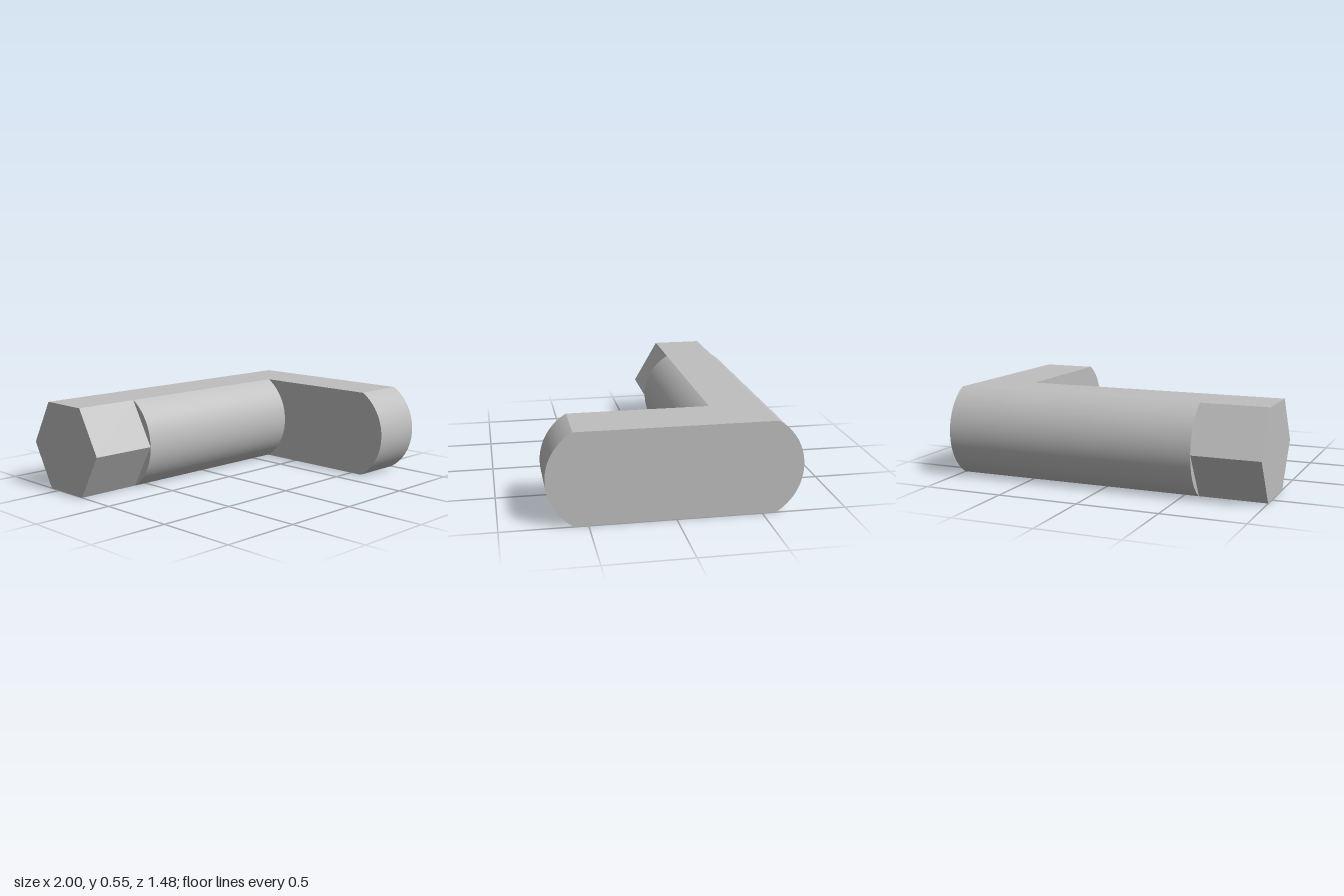
import * as THREE from 'three';
import { toCreasedNormals } from 'three/addons/utils/BufferGeometryUtils.js';

const HALF_H = 0.276;   // half height of the flattened stock
const RADIUS = 0.319;   // radius of the rounded sides
const SHAFT_Z = -0.419; // axis of the shaft

// Round-ended profile cut flat at top and bottom, between two arc centres in z
function flattenedProfile(zBack, zFront) {
  const a = Math.asin(HALF_H / RADIUS);
  const shape = new THREE.Shape();
  shape.absarc(-zBack, HALF_H, RADIUS, -a, a, false);
  shape.absarc(-zFront, HALF_H, RADIUS, Math.PI - a, Math.PI + a, false);
  shape.closePath();
  return shape;
}

// Regular hexagon with flats at top and bottom
function hexProfile(z) {
  const r = HALF_H / Math.cos(Math.PI / 6);
  const points = [];
  for (let i = 0; i < 6; i++) {
    const t = (i * Math.PI) / 3;
    points.push(new THREE.Vector2(-z + r * Math.cos(t), HALF_H + r * Math.sin(t)));
  }
  return new THREE.Shape(points);
}

export function createModel() {
  const group = new THREE.Group();
  group.name = 'hexEndedCrank';
  const steel = new THREE.MeshStandardMaterial({ color: 0xbfbfbf });
  steel.name = 'plain grey';

  // Extrude a side profile along x from x0 to x1
  function addBar(name, shape, x0, x1) {
    const extruded = new THREE.ExtrudeGeometry(shape, {
      depth: x1 - x0, bevelEnabled: false, curveSegments: 32,
    });
    extruded.rotateY(Math.PI / 2).translate(x0, 0, 0);
    const mesh = new THREE.Mesh(toCreasedNormals(extruded, Math.PI / 8), steel);
    mesh.name = name;
    group.add(mesh);
  }

  addBar('hexEnd', hexProfile(SHAFT_Z), -1, -0.587);
  addBar('shaft', flattenedProfile(SHAFT_Z, SHAFT_Z), -0.587, 0.655);
  addBar('crankArm', flattenedProfile(SHAFT_Z, -SHAFT_Z), 0.655, 1);
  return group;
}
